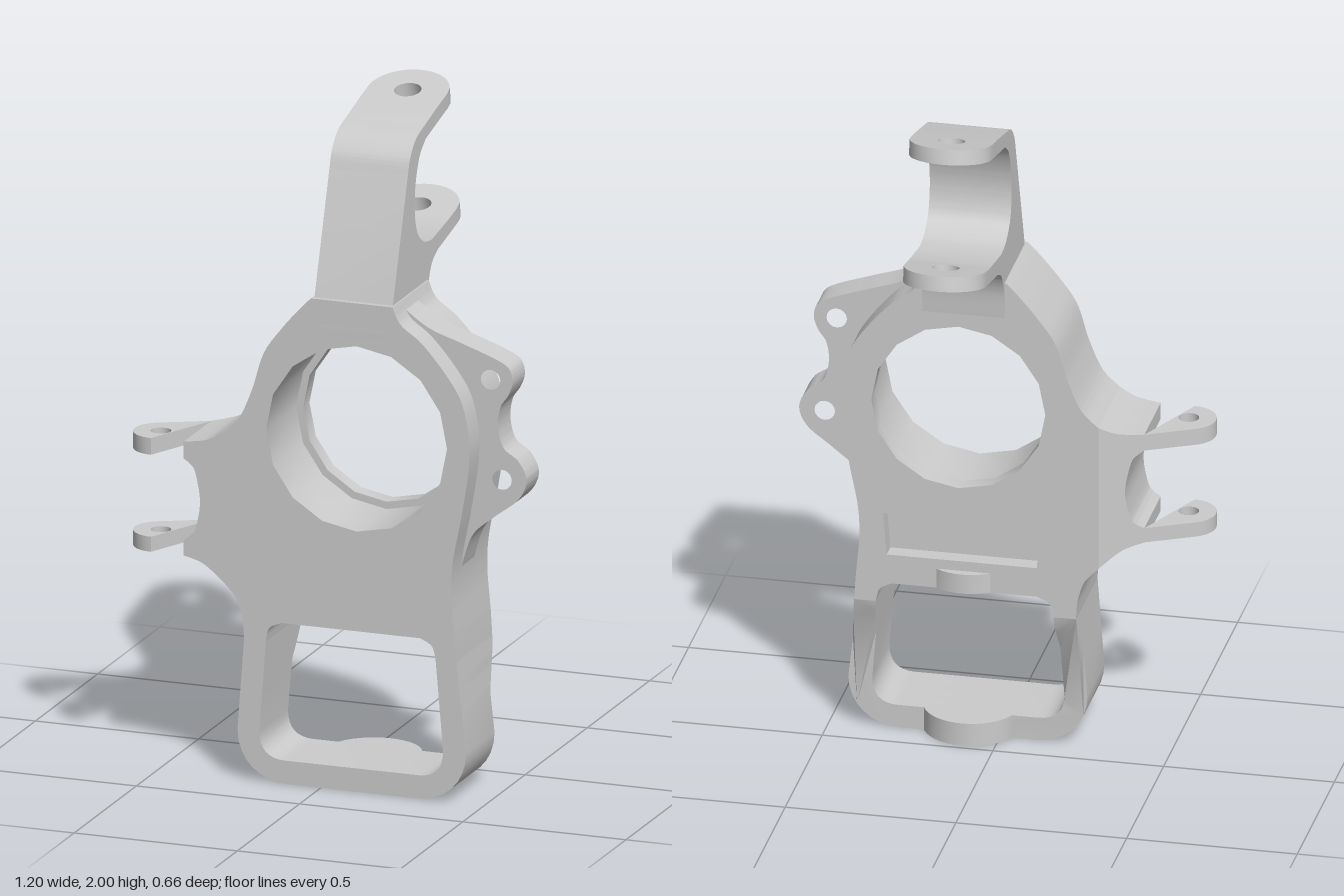
import * as THREE from 'three';
import { toCreasedNormals } from 'three/addons/utils/BufferGeometryUtils.js';

const FRONT = 0.33, BACK = 0.04, STEP = 0.09, MID_X = 0.095;
const grey = new THREE.MeshStandardMaterial({ color: 0xcccccc });
const v2 = ([x, y]) => new THREE.Vector2(x, y);

// Closed outline from runs: each run is a smooth curve through its points, runs are joined by straight lines.
function outline(...runs) {
  const s = new THREE.Shape();
  s.moveTo(...runs[0][0]);
  runs.forEach((run, i) => {
    if (i > 0) s.lineTo(...run[0]);
    if (run.length > 2) s.splineThru(run.slice(1).map(v2));
    else if (run.length === 2) s.lineTo(...run[1]);
  });
  s.closePath();
  return s;
}

const circle = (x, y, r) => new THREE.Path().absarc(x, y, r, 0, Math.PI * 2, true);

// Extrusion along z from z0 to z1, optionally moving the back face by a rule.
function slab(shape, z0, z1, backRule) {
  const g = new THREE.ExtrudeGeometry(shape, { depth: z1 - z0, bevelEnabled: false, curveSegments: 8 });
  g.translate(0, 0, z0);
  if (backRule) {
    const p = g.attributes.position;
    for (let i = 0; i < p.count; i++) {
      if (p.getZ(i) < z0 + 1e-4) p.setZ(i, backRule(p.getX(i), p.getY(i)));
    }
  }
  return g;
}

export function createModel() {
  const group = new THREE.Group();
  const add = (name, geometry) => {
    const mesh = new THREE.Mesh(toCreasedNormals(geometry, 0.6), grey);
    mesh.name = name;
    group.add(mesh);
    return mesh;
  };

  // Main body around the bearing bore; the back layer has a narrower lip and a shallow pocket
  const body = () => outline(
    [[-0.03, 1.46], [-0.06, 1.43], [-0.12, 1.36], [-0.175, 1.28], [-0.21, 1.17], [-0.25, 1.08], [-0.3, 1.03]],
    [[-0.3, 0.585], [-0.26, 0.54], [-0.24, 0.48], [-0.235, 0.42]],
    [[-0.168, 0.42], [-0.158, 0.46], [-0.12, 0.48]],
    [[0.305, 0.48], [0.34, 0.46], [0.352, 0.42]],
    [[0.415, 0.42], [0.41, 0.5], [0.4, 0.62], [0.405, 0.72], [0.43, 0.85], [0.453, 1.0], [0.453, 1.1],
      [0.43, 1.2], [0.38, 1.28], [0.31, 1.36], [0.245, 1.41], [0.22, 1.46]]);
  const frontLayer = body();
  frontLayer.holes.push(circle(0.11, 1.055, 0.277));
  add('bearingHousing', slab(frontLayer, STEP, FRONT));
  const backLayer = body();
  backLayer.holes.push(circle(0.11, 1.055, 0.255));
  backLayer.holes.push(outline([[-0.12, 0.57]], [[0.32, 0.57]], [[0.33, 0.7]], [[-0.13, 0.7]]));
  add('housingBackLip', slab(backLayer, BACK, STEP));

  // Lower loop, thinner toward the bottom
  const thin = [[0.42, 0.04], [0.39, 0.045], [0.36, 0.06], [0.33, 0.082], [0.3, 0.096], [0.27, 0.1], [0.15, 0.1]];
  const loop = new THREE.Shape();
  const leg = (xTop, xLow) => thin.map(([y]) => [xTop + (xLow - xTop) * (0.42 - y) / 0.27, y]);
  const lines = pts => pts.forEach(p => loop.lineTo(...p));
  const outerLeft = leg(-0.235, -0.255);
  loop.moveTo(...outerLeft[0]);
  lines(outerLeft.slice(1));
  loop.bezierCurveTo(-0.255, 0.06, -0.19, 0, -0.1, 0);
  loop.lineTo(0.29, 0);
  loop.bezierCurveTo(0.38, 0, 0.445, 0.06, 0.445, 0.15);
  lines(leg(0.415, 0.445).reverse());
  lines(leg(0.352, 0.375));
  loop.quadraticCurveTo(0.375, 0.07, 0.3, 0.07);
  loop.lineTo(-0.11, 0.07);
  loop.quadraticCurveTo(-0.188, 0.07, -0.188, 0.15);
  lines(leg(-0.168, -0.188).reverse());
  const loopBack = (x, y) => {
    const i = thin.findIndex(([ty]) => ty <= y + 1e-4);
    return i < 0 ? 0.1 : thin[i][1];
  };
  add('lowerLoop', slab(loop, BACK, FRONT, loopBack));

  // Round bosses at the foot and above the window
  for (const [name, y, h] of [['footBoss', 0, 0.07], ['windowBoss', 0.48, 0.06]]) {
    add(name, new THREE.CylinderGeometry(0.14, 0.14, h, 40).translate(MID_X, y + h / 2, 0.155));
  }

  // Web carrying the two side lugs, tapering outward at the back
  const taper = x => BACK + (-0.3 - x) * 0.57;
  const web = outline(
    [[-0.3, 1.03], [-0.35, 1.003], [-0.42, 0.99]],
    [[-0.42, 0.94], [-0.39, 0.915], [-0.375, 0.86], [-0.37, 0.815], [-0.375, 0.77], [-0.39, 0.72], [-0.42, 0.695]],
    [[-0.42, 0.65], [-0.36, 0.632], [-0.3, 0.585]]);
  add('sideWeb', slab(web, BACK, FRONT, taper));
  for (const [name, top, h] of [['upperSideLug', 0.99, 0.05], ['lowerSideLug', 0.695, 0.045]]) {
    const s = new THREE.Shape();
    s.moveTo(-0.42, FRONT);
    s.absarc(-0.52, 0.25, 0.08, Math.PI / 2, Math.PI * 4 / 3, false);
    s.lineTo(-0.42, taper(-0.42));
    s.closePath();
    s.holes.push(circle(-0.52, 0.25, 0.03));
    add(name, slab(s, 0, h).rotateX(Math.PI / 2).translate(0, top, 0));
  }

  // Flange with two bolt ears on the other side
  const ears = outline(
    [[0.22, 1.44], [0.3, 1.385], [0.4, 1.35], [0.5, 1.315], [0.545, 1.29], [0.557, 1.25], [0.545, 1.21],
      [0.52, 1.17], [0.513, 1.11], [0.53, 1.05], [0.575, 1.015], [0.6, 0.96], [0.575, 0.9], [0.5, 0.84],
      [0.435, 0.78], [0.4, 0.68]],
    [[0.395, 0.8]], [[0.42, 0.9]], [[0.42, 1.1]], [[0.36, 1.25]], [[0.26, 1.34]]);
  ears.holes.push(circle(0.49, 1.25, 0.03), circle(0.525, 0.955, 0.03));
  add('boltEars', slab(ears, 0.15, 0.25));

  // Neck with the fork root, drawn from the side and extruded across
  const neck = outline(
    [[FRONT, 1.35], [0.329, 1.4], [0.318, 1.45]],
    [[0.195, 1.81], [0.175, 1.86], [0.13, 1.905], [0.06, 1.927]],
    [[-0.0615, 1.958]],
    [[-0.0715, 1.914]],
    [[0.05, 1.885], [0.1, 1.845], [0.132, 1.77], [0.138, 1.69], [0.115, 1.62], [0.06, 1.58], [0, 1.57]],
    [[-0.1415, 1.594]],
    [[-0.1515, 1.55]],
    [[-0.05, 1.528], [0, 1.5], [0.03, 1.44], [BACK, 1.35]]);
  add('neck', slab(neck, 0, 0.24).rotateY(-Math.PI / 2).translate(0.215, 0, 0));

  // Rounded fork tips with a pin hole, tilted up toward the back
  for (const [name, y, z] of [['upperForkTip', 1.927, -0.13], ['lowerForkTip', 1.563, -0.21]]) {
    const s = new THREE.Shape();
    s.moveTo(-0.12, -0.06);
    s.lineTo(0.12, -0.06);
    s.absarc(0, 0, 0.12, 0, Math.PI, false);
    s.closePath();
    s.holes.push(circle(0, 0, 0.04));
    add(name, slab(s, 0, 0.045).rotateX(0.22 - Math.PI / 2).translate(MID_X, y, z));
  }
  return group;
}
